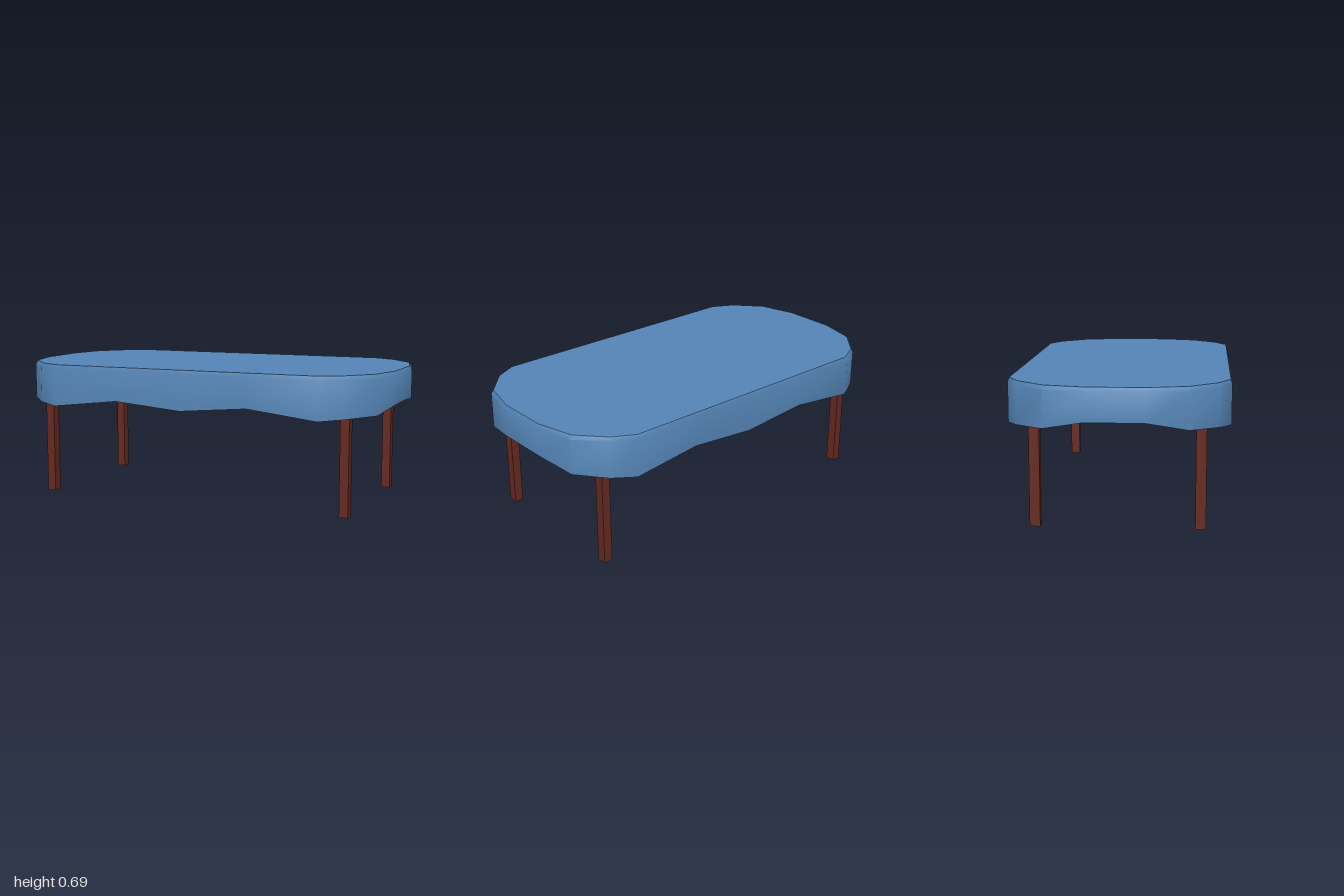
import * as THREE from 'three';
import { toCreasedNormals } from 'three/addons/utils/BufferGeometryUtils.js';

// One quarter of the outline as [x, z, hem height], from the end to the long side
const quarter = [
  [1, 0.14, 0.531], [0.95, 0.335, 0.492], [0.83, 0.47, 0.485],
  [0.715, 0.53, 0.476], [0.355, 0.53, 0.518],
];
const reversed = [...quarter].reverse();
const outline = [
  ...quarter, [0, 0.53, 0.487],
  ...reversed.map(([x, z, y]) => [-x, z, y]),
  ...quarter.map(([x, z, y]) => [-x, -z, y]), [0, -0.53, 0.487],
  ...reversed.map(([x, z, y]) => [x, -z, y]),
];

// Open cloth: wavy hem, upright skirt, soft bevel and flat top
function clothGeometry() {
  const n = outline.length;
  const positions = [], index = [];
  const rings = [[1, (y) => y], [1, () => 0.672], [0.987, () => 0.691]];
  for (const [scale, height] of rings) {
    for (const [x, z, y] of outline) positions.push(x * scale, height(y), z * scale);
  }
  positions.push(0, 0.691, 0);
  for (let i = 0; i < n; i++) {
    const j = (i + 1) % n;
    for (let r = 0; r < 2; r++) {
      const a = r * n + i, b = r * n + j;
      index.push(a, a + n, b, b, a + n, b + n);
    }
    index.push(2 * n + i, 3 * n, 2 * n + j);
  }
  const geometry = new THREE.BufferGeometry();
  geometry.setAttribute('position', new THREE.Float32BufferAttribute(positions, 3));
  geometry.setIndex(index);
  return toCreasedNormals(geometry, THREE.MathUtils.degToRad(40));
}

export function createModel() {
  const group = new THREE.Group();
  const cloth = new THREE.MeshStandardMaterial({ color: 0x5585b6, side: THREE.DoubleSide });
  cloth.name = 'blue cloth';
  const wood = new THREE.MeshStandardMaterial({ color: 0x662a21 });
  wood.name = 'dark red wood';

  const add = (name, geometry, material, x = 0, y = 0, z = 0) => {
    const mesh = new THREE.Mesh(geometry, material);
    mesh.name = name;
    mesh.position.set(x, y, z);
    group.add(mesh);
  };

  add('tablecloth', clothGeometry(), cloth);

  // Board just under the cloth
  const shape = new THREE.Shape(outline.map(([x, z]) => new THREE.Vector2(x * 0.985, z * 0.985)));
  const board = new THREE.ExtrudeGeometry(shape, { depth: 0.04, bevelEnabled: false });
  board.rotateX(-Math.PI / 2);
  add('tabletop', board, wood, 0, 0.64, 0);

  // Legs and the long rails joining them
  const leg = new THREE.BoxGeometry(0.045, 0.64, 0.05);
  const rail = new THREE.BoxGeometry(1.6, 0.08, 0.03);
  for (const [end, z] of [['front', 0.39], ['back', -0.39]]) {
    add(end + 'LeftLeg', leg, wood, 0.815, 0.32, z);
    add(end + 'RightLeg', leg, wood, -0.815, 0.32, z);
    add(end + 'Rail', rail, wood, 0, 0.6, z);
  }
  return group;
}
